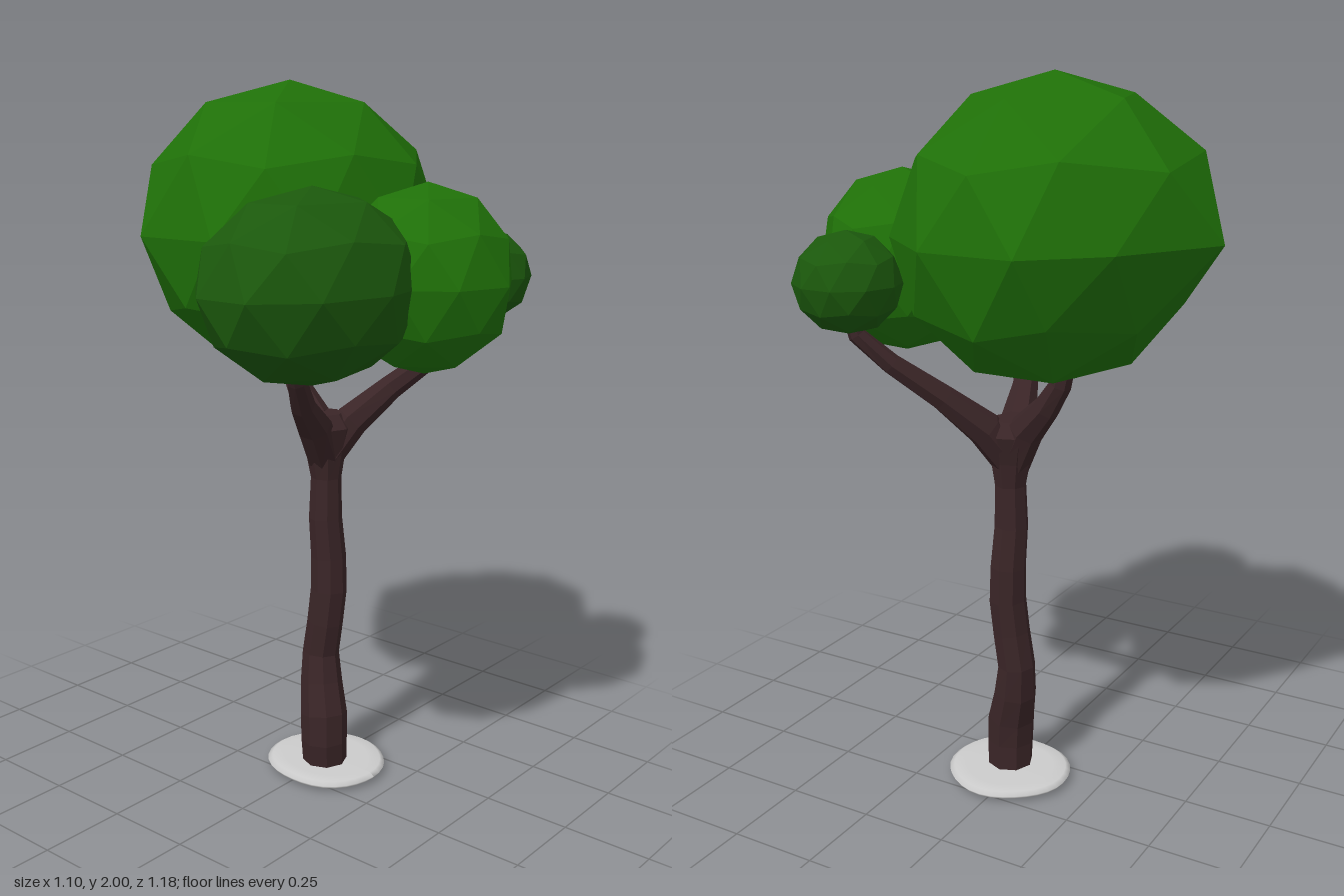
import * as THREE from 'three';

const mat = (color) => new THREE.MeshStandardMaterial({ color, flatShading: true });
const bark = mat(0x3a2527);
const leaf = mat(0x1f7008);
const darkLeaf = mat(0x1b580c);
const stone = new THREE.MeshStandardMaterial({ color: 0xcccccc });

function addMesh(group, name, geometry, material) {
  const mesh = new THREE.Mesh(geometry, material);
  mesh.name = name;
  group.add(mesh);
  return mesh;
}

// Faceted leaf ball: an icosphere with a corner on its vertical axis,
// its depth scaled corner by corner with depthRule(x, y, z)
function leafBall(radii, depthRule) {
  const g = new THREE.IcosahedronGeometry(1, 1);
  g.rotateZ(Math.atan(2 / (1 + Math.sqrt(5))));
  g.rotateY(Math.PI / 5);
  const p = g.attributes.position;
  for (let i = 0; i < p.count; i++) {
    p.setZ(i, p.getZ(i) * depthRule(p.getX(i), p.getY(i), p.getZ(i)));
  }
  g.scale(...radii);
  g.computeVertexNormals();
  return g;
}

// Tapered limb through rows of [x, y, z, radius], capped at both ends
function limb(rows, sides = 8) {
  const pts = rows.map((r) => new THREE.Vector3(r[0], r[1], r[2]));
  const pos = [];
  const index = [];
  const n = rows.length;
  pts.forEach((p, i) => {
    const t = pts[Math.min(i + 1, n - 1)].clone().sub(pts[Math.max(i - 1, 0)]).normalize();
    if (i === 0 && p.y === 0) t.set(0, 1, 0);
    const u = new THREE.Vector3(0, 0, 1).cross(t).negate().normalize();
    const v = u.clone().cross(t).normalize();
    for (let k = 0; k < sides; k++) {
      const a = (k / sides) * Math.PI * 2;
      const q = p.clone()
        .addScaledVector(u, Math.cos(a) * rows[i][3])
        .addScaledVector(v, Math.sin(a) * rows[i][3]);
      pos.push(q.x, q.y, q.z);
    }
  });
  for (let i = 0; i < n - 1; i++) {
    for (let k = 0; k < sides; k++) {
      const a = i * sides + k;
      const b = i * sides + ((k + 1) % sides);
      index.push(a, a + sides, b, b, a + sides, b + sides);
    }
  }
  const top = (n - 1) * sides;
  for (let k = 1; k < sides - 1; k++) {
    index.push(0, k, k + 1, top, top + k + 1, top + k);
  }
  const g = new THREE.BufferGeometry();
  g.setAttribute('position', new THREE.Float32BufferAttribute(pos, 3));
  g.setIndex(index);
  g.computeVertexNormals();
  return g;
}

export function createModel() {
  const tree = new THREE.Group();
  tree.name = 'tree';

  // Wavy trunk, flaring where the branches leave it
  addMesh(tree, 'trunk', limb([
    [0.094, 0, 0.021, 0.064],
    [0.086, 0.1, 0.024, 0.068],
    [0.09, 0.18, 0.019, 0.069],
    [0.105, 0.27, -0.003, 0.062],
    [0.114, 0.36, -0.013, 0.054],
    [0.115, 0.46, 0.002, 0.053],
    [0.12, 0.56, 0.011, 0.053],
    [0.122, 0.66, 0.008, 0.051],
    [0.114, 0.78, 0.002, 0.048],
    [0.115, 0.9, 0.003, 0.044],
    [0.114, 0.97, 0.002, 0.056],
    [0.113, 1.05, 0, 0.078],
    [0.113, 1.09, 0, 0.05],
  ]), bark);

  // Branches, one under each leaf mass, plus a short twig
  const branches = {
    leftBranch: [[0.11, 0.96, 0, 0.05], [0.17, 1.065, 0.05, 0.05], [0.25, 1.16, 0.13, 0.036],
      [0.34, 1.26, 0.23, 0.028], [0.39, 1.34, 0.3, 0.024], [0.4, 1.42, 0.32, 0.02]],
    rightBranch: [[0.11, 0.96, 0, 0.05], [0.04, 1.065, 0.02, 0.05], [-0.04, 1.14, 0.045, 0.036],
      [-0.1, 1.22, 0.075, 0.028], [-0.14, 1.3, 0.09, 0.025], [-0.17, 1.4, 0.11, 0.02]],
    rearBranch: [[0.113, 0.96, 0, 0.05], [0.125, 1.065, -0.05, 0.05], [0.14, 1.14, -0.12, 0.037],
      [0.145, 1.21, -0.165, 0.031], [0.145, 1.32, -0.19, 0.028]],
    twig: [[-0.03, 1.12, 0.045, 0.022], [-0.075, 1.19, 0.055, 0.02],
      [-0.09, 1.25, 0.085, 0.016], [-0.095, 1.34, 0.11, 0.014]],
  };
  for (const [name, rows] of Object.entries(branches)) addMesh(tree, name, limb(rows, 7), bark);

  // Leaf masses: name, centre, radii, material, depth rule
  const pinch = (x) => 1 - 0.8 * x * x * (1 - x * x);
  const leaves = [
    ['mainCrown', [0.107, 1.6, -0.125], [0.467, 0.4, 0.465], leaf,
      (x, y, z) => (z > 0 ? 0.85 : pinch(x) * (y < -0.1 ? 0.83 : 1))],
    ['frontLeaves', [0.115, 1.493, 0.335], [0.255, 0.25, 0.252], leaf,
      (x, y, z) => (z > 0 && x > 0.1 ? pinch(x) : 1)],
    ['rightLeaves', [-0.215, 1.495, 0.222], [0.347, 0.248, 0.25], darkLeaf,
      (x, y, z) => (z < 0 && y < -0.1 ? 0.88 : 1)],
    ['smallLeaves', [0.4, 1.477, 0.315], [0.14, 0.134, 0.145], darkLeaf, () => 1],
  ];
  for (const [name, centre, radii, material, rule] of leaves) {
    addMesh(tree, name, leafBall(radii, rule), material).position.set(...centre);
  }

  // Thin ground disc with a soft, uneven rim
  const profile = [[0, 0.006], [0.145, 0.006], [0.163, 0.012], [0.168, 0.02],
    [0.155, 0.029], [0.12, 0.031], [0, 0.031]].map(([x, y]) => new THREE.Vector2(x, y));
  const disc = new THREE.LatheGeometry(profile, 32);
  const p = disc.attributes.position;
  for (let i = 0; i < p.count; i++) {
    const a = Math.atan2(p.getZ(i), p.getX(i));
    const s = 1 + 0.02 * Math.sin(3 * a + 1) + 0.01 * Math.cos(5 * a);
    p.setX(i, p.getX(i) * s);
    p.setZ(i, p.getZ(i) * s * 1.07);
  }
  disc.computeVertexNormals();
  addMesh(tree, 'groundDisc', disc, stone).position.set(0.11, 0, 0.015);

  return tree;
}
